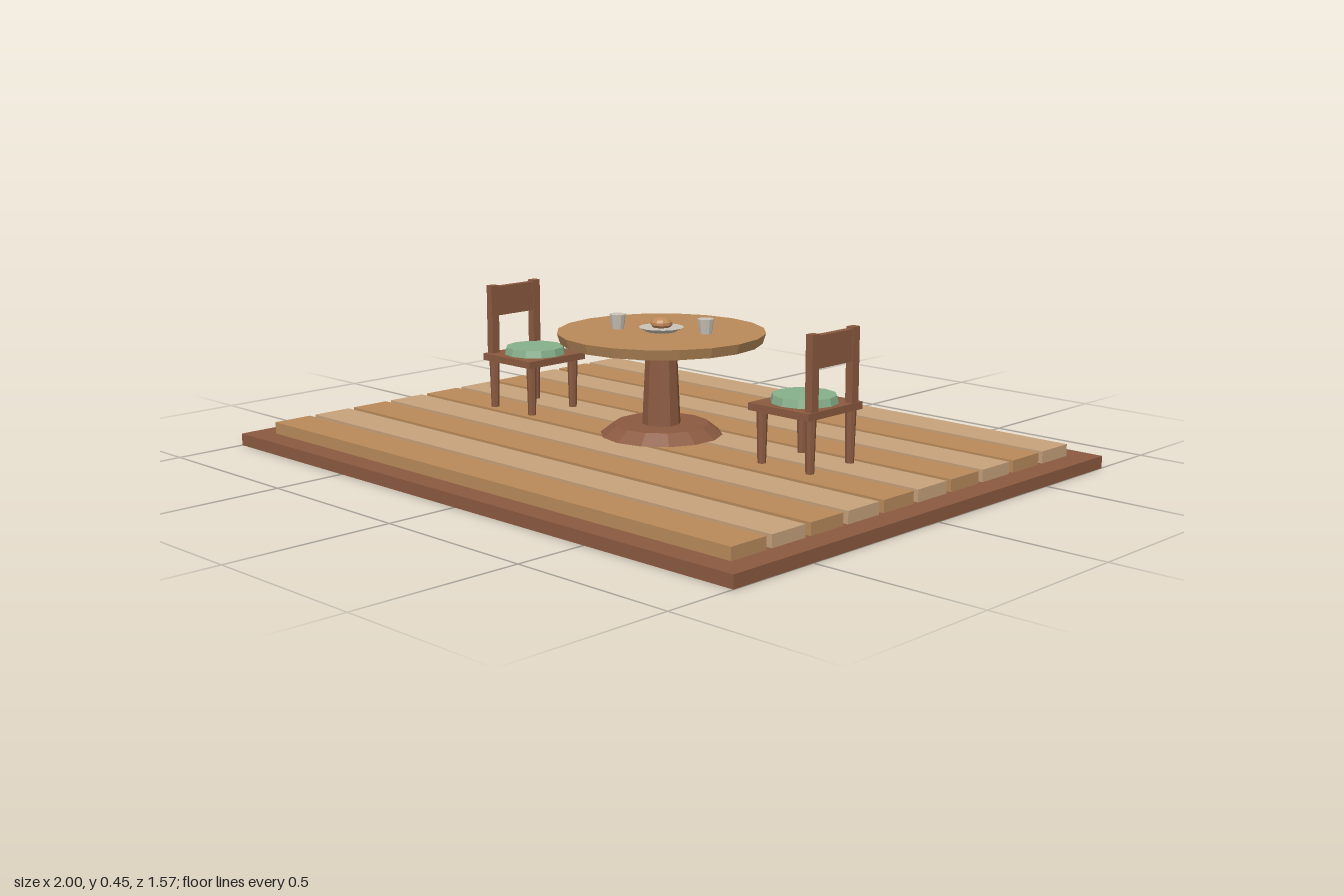
import * as THREE from 'three';

const mat = (name, color) => {
  const m = new THREE.MeshStandardMaterial({ color, flatShading: true });
  m.name = name;
  return m;
};

export function createModel() {
  const darkWood = mat('dark wood', 0x8b5a40);
  const midWood = mat('mid wood', 0xb98a5a);
  const lightWood = mat('light wood', 0xc6a27b);
  const green = mat('cushion green', 0x87b08b);
  const ceramic = mat('ceramic', 0xc9c3b8);
  const crust = mat('bread crust', 0xc08a58);

  const root = new THREE.Group();
  root.name = 'diningDeck';

  const add = (parent, name, geometry, material, x, y, z) => {
    const mesh = new THREE.Mesh(geometry, material);
    mesh.name = name;
    mesh.position.set(x, y, z);
    parent.add(mesh);
    return mesh;
  };
  // Box and tapered cylinder given by their bottom and top heights
  const box = (parent, name, m, w, d, y0, y1, x = 0, z = 0) =>
    add(parent, name, new THREE.BoxGeometry(w, y1 - y0, d), m, x, (y0 + y1) / 2, z);
  const cyl = (parent, name, m, rTop, rBottom, sides, y0, y1, x = 0, z = 0) =>
    add(parent, name, new THREE.CylinderGeometry(rTop, rBottom, y1 - y0, sides), m, x, (y0 + y1) / 2, z);

  // Deck: frame slab with ten alternating planks
  const deck = new THREE.Group();
  deck.name = 'deck';
  root.add(deck);
  box(deck, 'deckBase', darkWood, 2, 1.57, 0, 0.036);
  for (let i = 0; i < 10; i++) {
    box(deck, 'plank', i % 2 ? midWood : lightWood, 1.854, 0.125, 0.036, 0.071, 0, (i - 4.5) * 0.1445);
  }

  // Round pedestal table
  const table = new THREE.Group();
  table.name = 'table';
  root.add(table);
  cyl(table, 'tableFoot', darkWood, 0.14, 0.18, 14, 0.071, 0.102);
  cyl(table, 'tablePedestal', darkWood, 0.045, 0.057, 10, 0.1, 0.346);
  cyl(table, 'tableTop', midWood, 0.305, 0.295, 20, 0.345, 0.375);

  // Tableware
  cyl(table, 'plate', ceramic, 0.066, 0.045, 14, 0.375, 0.387);
  const bun = add(table, 'breadBun', new THREE.SphereGeometry(0.033, 10, 7), crust, 0, 0.398, 0);
  bun.scale.y = 0.55;
  for (const s of [-1, 1]) {
    cyl(table, 'cup', ceramic, 0.024, 0.018, 10, 0.375, 0.418, s * 0.12, s * -0.06);
  }

  // Chairs, backrest on local +x, turned to face the table
  const makeChair = (name) => {
    const chair = new THREE.Group();
    chair.name = name;
    box(chair, 'seat', darkWood, 0.214, 0.23, 0.221, 0.242);
    cyl(chair, 'cushion', green, 0.09, 0.095, 12, 0.242, 0.264, -0.004);
    for (const z of [-0.085, 0.085]) {
      for (const x of [-0.082, 0.09]) {
        cyl(chair, 'leg', darkWood, 0.016, 0.012, 8, 0.071, 0.222, x, z);
      }
      box(chair, 'backPost', darkWood, 0.024, 0.028, 0.242, 0.453, 0.093, z);
    }
    box(chair, 'backPanel', darkWood, 0.02, 0.2, 0.358, 0.448, 0.093);
    root.add(chair);
    return chair;
  };
  makeChair('leftChair').position.set(0.53, 0, -0.022);
  const rightChair = makeChair('rightChair');
  rightChair.position.set(-0.533, 0, 0.02);
  rightChair.rotation.y = Math.PI;

  return root;
}
